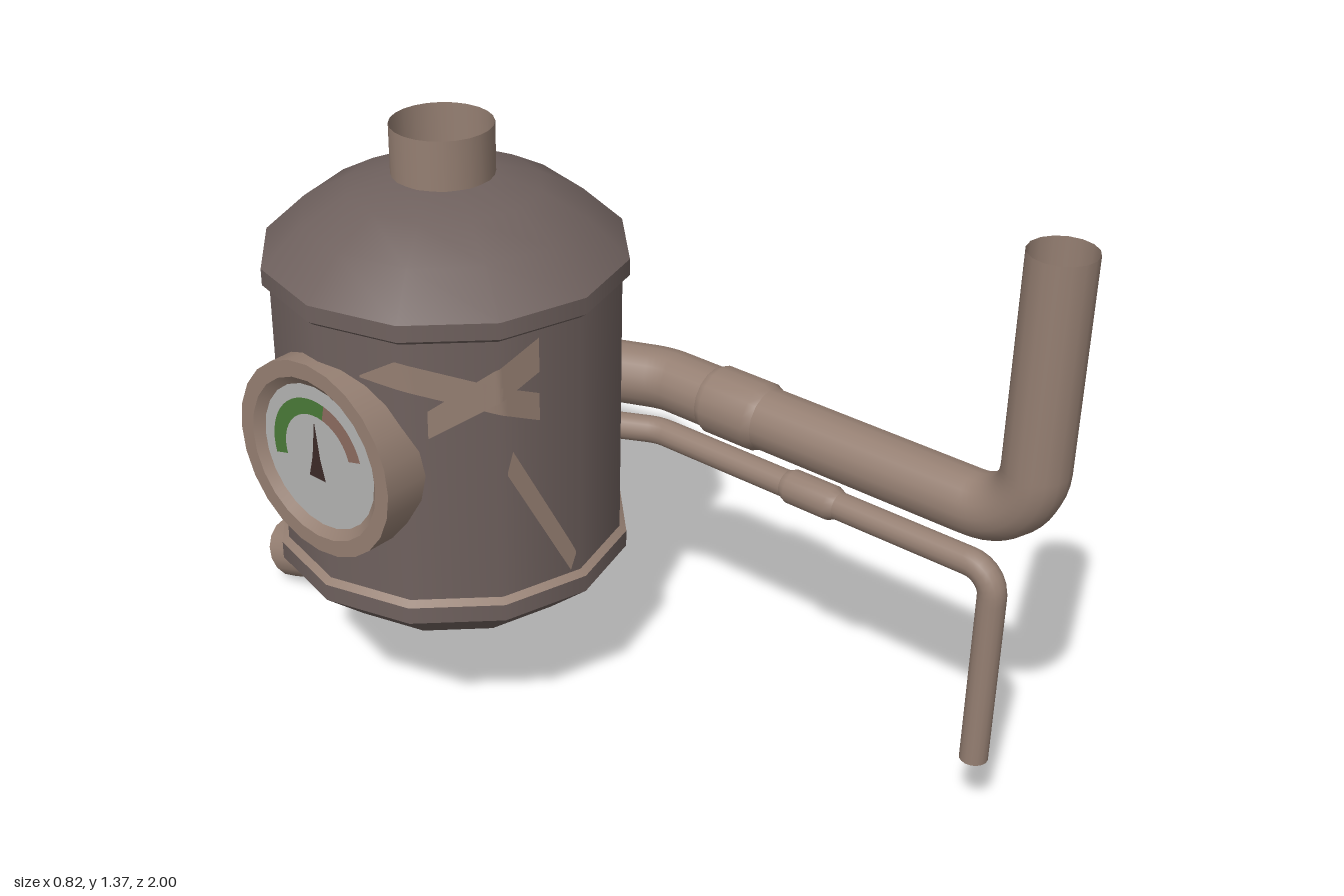
import * as THREE from 'three';

const mat = (name, color) => {
  const m = new THREE.MeshStandardMaterial({ color, side: THREE.DoubleSide });
  m.name = name;
  return m;
};
const V = (x, y, z) => new THREE.Vector3(x, y, z);

export function createModel() {
  const tankBrown = mat('tankBrown', 0x6f615e);
  const pipeBrown = mat('pipeBrown', 0x957f72);
  const dialGrey = mat('dialGrey', 0xb4b4b2);
  const dialGreen = mat('dialGreen', 0x4a7a38);
  const dialRust = mat('dialRust', 0x8c6c60);
  const needleDark = mat('needleDark', 0x3c2a28);

  const model = new THREE.Group();
  const add = (parent, name, geometry, material) => {
    const mesh = new THREE.Mesh(geometry, material);
    mesh.name = name;
    parent.add(mesh);
    return mesh;
  };
  const lathe = (pts, sides) =>
    new THREE.LatheGeometry(pts.map(([r, y]) => new THREE.Vector2(r, y)), sides);

  // Tank: twelve-sided sections, separate so the rings keep sharp edges
  const tank = new THREE.Group();
  tank.name = 'tank';
  tank.position.set(0.004, 0, -0.385);
  model.add(tank);
  const R = 0.39, RING = 0.406;
  const sections = [
    ['bottomDome', [[0, 0.19], [0.1, 0.196], [0.2, 0.225], [0.3, 0.285], [RING, 0.375]], tankBrown],
    ['lowerRing', [[RING, 0.375], [RING, 0.415]], tankBrown],
    ['lowerRingBevel', [[RING, 0.415], [R, 0.427]], pipeBrown],
    ['tankWall', [[R, 0.42], [R, 1.055]], tankBrown],
    ['upperRingBevel', [[R, 1.05], [RING, 1.062]], tankBrown],
    ['upperRing', [[RING, 1.062], [RING, 1.1]], tankBrown],
    ['topDome', [[RING, 1.1], [0.315, 1.185], [0.215, 1.24], [0.11, 1.27], [0, 1.272]], tankBrown],
  ];
  for (const [name, pts, m] of sections) add(tank, name, lathe(pts, 12), m);
  add(tank, 'topNeck', lathe([[0.113, 1.25], [0.113, 1.38]], 24), pipeBrown);

  // Worn patches: columns of [x, low y, high y] laid onto the tank wall
  const patch = (name, side, cols) => {
    const r = R + 0.005, pos = [], idx = [];
    const corners = [0, 30, 60, 90].map(a => [r * Math.sin(a * Math.PI / 180), r * Math.cos(a * Math.PI / 180)]);
    const wallZ = x => {
      const a = Math.abs(x);
      const i = a < corners[1][0] ? 0 : a < corners[2][0] ? 1 : 2;
      const [x0, z0] = corners[i], [x1, z1] = corners[i + 1];
      return side * (z0 + (z1 - z0) * (a - x0) / (x1 - x0));
    };
    const N = 16;
    for (let c = 0; c < cols.length - 1; c++) {
      for (let k = 0; k <= N; k++) {
        const [x, lo, hi] = cols[c].map((v, i) => v + (cols[c + 1][i] - v) * k / N);
        const n = pos.length / 3;
        pos.push(x, lo, wallZ(x), x, hi, wallZ(x));
        if (k < N) {
          if (side > 0) idx.push(n, n + 2, n + 1, n + 1, n + 2, n + 3);
          else idx.push(n, n + 1, n + 2, n + 1, n + 3, n + 2);
        }
      }
    }
    const g = new THREE.BufferGeometry();
    g.setAttribute('position', new THREE.Float32BufferAttribute(pos, 3));
    g.setIndex(idx);
    g.computeVertexNormals();
    add(tank, name, g, pipeBrown);
  };
  patch('frontPatchDown', 1, [[-0.367, 0.955, 0.96], [-0.345, 0.947, 1.01], [-0.104, 0.84, 0.905]]);
  patch('frontPatchUp', 1, [[-0.304, 0.83, 0.895], [-0.204, 0.905, 0.985], [-0.104, 0.955, 1.035]]);
  patch('frontScratch', 1, [[-0.182, 0.73, 0.74], [-0.169, 0.705, 0.785], [-0.029, 0.437, 0.51], [-0.016, 0.475, 0.482]]);
  patch('backPatchUpper', -1, [[-0.29, 0.85, 0.93], [-0.09, 0.81, 0.865], [0.07, 0.725, 0.79], [0.305, 0.63, 0.7]]);
  patch('backPatchMiddle', -1, [[-0.29, 0.51, 0.59], [-0.155, 0.54, 0.595], [0.0, 0.575, 0.63], [0.11, 0.59, 0.635]]);
  patch('backPatchLower', -1, [[-0.29, 0.45, 0.505], [0.05, 0.455, 0.5]]);

  // Bent pipes: straight runs with rounded corners of the given size
  const bentPipe = (name, pts, corners, radius) => {
    const path = new THREE.CurvePath();
    let from = pts[0];
    for (let i = 1; i < pts.length - 1; i++) {
      const toward = p => pts[i].clone().add(p.clone().sub(pts[i]).setLength(corners[i - 1]));
      const a = toward(pts[i - 1]), b = toward(pts[i + 1]);
      path.add(new THREE.LineCurve3(from, a));
      // Handles approximate a circular arc
      path.add(new THREE.CubicBezierCurve3(a, a.clone().lerp(pts[i], 0.55), b.clone().lerp(pts[i], 0.55), b));
      from = b;
    }
    path.add(new THREE.LineCurve3(from, pts[pts.length - 1]));
    add(model, name, new THREE.TubeGeometry(path, 100, radius, 16, false), pipeBrown);
  };
  bentPipe('largePipe', [V(0.2, 0.785, -0.24), V(0.302, 0.785, 0), V(0.302, 0.785, 0.93), V(0.302, 1.38, 0.93)], [0.03, 0.13], 0.07);
  bentPipe('smallPipe', [V(0.2, 0.645, -0.22), V(0.302, 0.645, -0.02), V(0.302, 0.645, 0.865), V(0.302, 0.17, 0.865)], [0.02, 0.06], 0.031);

  // Bevelled couplings around the two pipes
  const coupling = (name, y, z, length, inner, outer) => {
    const h = length / 2, b = 0.018;
    const g = lathe([[inner, -h], [outer, -h + b], [outer, h - b], [inner, h]], 16).rotateX(Math.PI / 2);
    add(model, name, g, pipeBrown).position.set(0.302, y, z);
  };
  coupling('largeCoupling', 0.785, 0.207, 0.15, 0.07, 0.078);
  coupling('smallCoupling', 0.645, 0.408, 0.14, 0.031, 0.039);

  // Drain pipe: tilted rings [z, y, ring-up z, ring-up y] joined in a loop
  const rings = [[-0.53, 0.387, -0.787, 0.616], [-0.71, 0.153, -0.816, 0.578], [-0.97, 0.075, -0.394, 0.919]];
  const S = 16, dp = [], di = [];
  rings.forEach(([z, y, uz, uy], i) => {
    for (let k = 0; k <= S; k++) {
      const a = k / S * Math.PI * 2, c = 0.076 * Math.cos(a);
      dp.push(0.004 + 0.076 * Math.sin(a), y + uy * c, z + uz * c);
      if (i < rings.length - 1 && k < S) {
        const n = i * (S + 1) + k, m = n + S + 1;
        di.push(n, n + 1, m, n + 1, m + 1, m);
      }
    }
  });
  const drain = new THREE.BufferGeometry();
  drain.setAttribute('position', new THREE.Float32BufferAttribute(dp, 3));
  drain.setIndex(di);
  drain.computeVertexNormals();
  add(model, 'drainPipe', drain, pipeBrown);

  // Pressure gauge on the -x side, built facing +z and turned
  const gauge = new THREE.Group();
  gauge.name = 'gauge';
  gauge.position.set(0, 0.738, -0.387);
  gauge.rotation.y = -Math.PI / 2;
  model.add(gauge);
  const turned = pts => lathe(pts, 24).rotateX(Math.PI / 2);
  add(gauge, 'gaugeHousing', turned([[0.228, 0.25], [0.228, 0.413]]), pipeBrown);
  add(gauge, 'gaugeRim', turned([[0.228, 0.413], [0.19, 0.413]]), pipeBrown);
  add(gauge, 'gaugeRimInside', turned([[0.19, 0.413], [0.168, 0.395]]), pipeBrown);
  add(gauge, 'dialFace', new THREE.CircleGeometry(0.17, 24), dialGrey).position.z = 0.396;
  const arc = (name, from, to, m) => {
    const rad = Math.PI / 180;
    add(gauge, name, new THREE.RingGeometry(0.1, 0.137, 16, 1, from * rad, (to - from) * rad), m).position.z = 0.399;
  };
  arc('dialGreenArc', 78, 195, dialGreen);
  arc('dialRustArc', 15, 78, dialRust);
  const needle = new THREE.Shape([[-0.025, -0.05], [0.025, -0.05], [0.012, 0], [0, 0.09], [-0.012, 0]]
    .map(([x, y]) => new THREE.Vector2(x, y)));
  add(gauge, 'dialNeedle', new THREE.ShapeGeometry(needle), needleDark).position.z = 0.403;

  return model;
}
